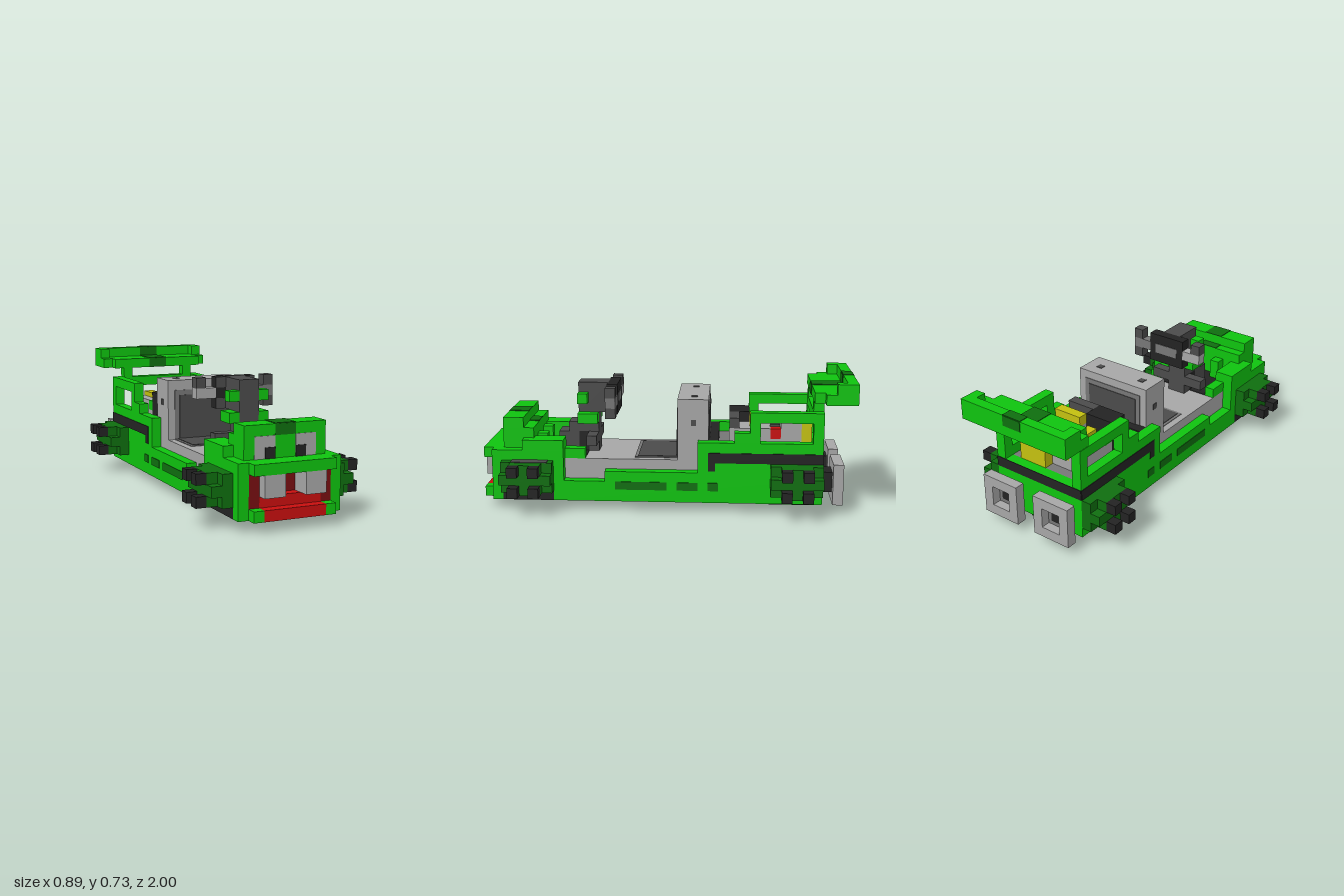
import * as THREE from 'three';

const U = 1 / 18; // one block of the grid

const mat = (name, color) => {
  const m = new THREE.MeshStandardMaterial({ color });
  m.name = name;
  return m;
};

export function createModel() {
  const green = mat('green', 0x0fc30f), dkGreen = mat('darkGreen', 0x0f6e0f);
  const light = mat('lightGrey', 0xa6a6a6), mid = mat('midGrey', 0x767676);
  const dark = mat('darkGrey', 0x4b4b4b), black = mat('black', 0x232323);
  const red = mat('red', 0xc80f0f), dkRed = mat('darkRed', 0x780f12);
  const yellow = mat('yellow', 0xc3c010);

  const kart = new THREE.Group();
  kart.name = 'kart';

  // Box between two corners, in blocks
  const box = (name, m, x0, x1, y0, y1, z0, z1) => {
    const mesh = new THREE.Mesh(new THREE.BoxGeometry((x1 - x0) * U, (y1 - y0) * U, (z1 - z0) * U), m);
    mesh.position.set((x0 + x1) / 2 * U, (y0 + y1) / 2 * U, (z0 + z1) / 2 * U);
    mesh.name = name;
    kart.add(mesh);
  };
  // Same box on both sides
  const pair = (name, m, x0, x1, ...r) => {
    box(name + 'Left', m, x0, x1, ...r);
    box(name + 'Right', m, -x1, -x0, ...r);
  };
  const T = 0.06; // painted plate thickness

  // Underbody with rails and cross ribs
  box('underbody', black, -4, 4, 2, 3, -14, 15);
  pair('underRail', black, 3, 4, 1, 2, -14, 16);
  for (let z = -13; z <= 12; z += 5) box('underRib', dkGreen, -3, 3, 1.3, 2, z, z + 1);
  for (let z = -11.5; z < 12; z += 5) box('underPanel', dark, -1.5, 1.5, 2 - T, 2, z, z + 2.5);
  box('skid', black, -2, 2, 0, 1, -14, -10);
  box('skidMount', black, -2, 2, 1, 1.3, -14, -10);
  box('skidEnd', dkGreen, -2, 2, 0, 1, -14.06, -14);

  // Side walls
  pair('sill', green, 4, 5, 1, 3, -10, 11);
  pair('sillStep', green, 4, 5, 3, 4, -10, 6);
  pair('rearWall', green, 4, 5, 4, 7, -15, -3);
  pair('rearWallLow', green, 4, 5, 1, 4, -15, -10);
  pair('sideStripe', black, 5, 5 + T, 5, 6, -15, -4);
  pair('stripeEnd', black, 5, 5 + T, 4.2, 5, -4.7, -4);
  for (const [a, b] of [[0, 5], [-3, -1], [-5, -4]])
    pair('sideSlot', dkGreen, 5, 5 + T, 2.2, 3, a, b);

  // Wheels with stud hubs
  for (const z of [11, -15]) {
    pair('wheel', dkGreen, 5, 6, 2, 5, z, z + 5);
    pair('wheelFace', dkGreen, 6, 7, 2, 5, z + 1, z + 4);
    pair('wheelBand', dkGreen, 6, 7, 3, 4, z, z + 5);
    for (const dz of [1, 3]) for (const y of [2, 4])
      pair('stud', black, 7, 8, y, y + 1, z + dz, z + dz + 1);
  }
  box('wheelPatch', dark, 5, 6, 5, 5 + T, 11.5, 15);

  // Cockpit floor and seat
  box('cockpitFloor', light, -4, 4, 3, 5, -3, 10);
  box('seatBack', light, -4, 4, 5, 11, -4, -1);
  box('seatPanelRim', mid, -3.3, 3.3, 5, 10, -1, -1 + T);
  box('seatPanel', dark, -2.8, 2.8, 5, 9.5, -1 + T, -1 + 2 * T);
  box('cushionRim', mid, -3.3, 3.3, 5, 5 + T, -1, 3.2);
  box('cushion', dark, -3, 3, 5 + T, 5 + 2 * T, -1, 2.9);
  box('seatRearRim', mid, -3.3, 3.3, 7, 10.2, -4 - T, -4);
  box('seatRearPanel', dark, -2.8, 2.8, 7, 9.7, -4 - 2 * T, -4 - T);
  pair('seatBolt', dark, 2.2, 2.8, 11, 11 + T, -2.9, -2.3);
  pair('seatSideBolt', dark, 4, 4 + T, 8.4, 9, -2.8, -2.3);

  // Nose and hood
  box('footwell', black, -4, 4, 3, 5, 10, 15);
  box('footwellMat', black, -3, 3, 5, 5 + T, 8, 10);
  pair('frontWellSide', dkGreen, 4, 5, 2, 5, 11, 16);
  pair('frontWellBase', black, 4, 5, 1, 2, 11, 16);
  pair('frontWallTop', green, 4, 5, 5, 6, 10, 16);
  pair('frontWallEdge', green, 4, 5, 3, 5, 10, 11);
  pair('cowlSide', green, 3, 4, 5, 7, 10, 13);
  pair('cowlFoot', green, 3, 4, 5, 6, 8, 10);
  pair('hoodShoulder', green, 4, 5, 6, 7, 10, 14);
  box('hoodBase', green, -4, 4, 5, 7, 13, 16);
  pair('hoodPeg', green, 1, 2, 5, 7, 12, 13);
  box('hoodMiddle', green, -4, 4, 7, 8, 13, 16);
  box('hoodTop', green, -4, 4, 8, 9, 14, 16);
  box('hoodStripe', dkGreen, -1, 1, 9, 9 + T, 14, 16);
  box('hoodStripeRear', dkGreen, -1, 1, 8, 8 + T, 13, 14);
  box('hoodStripeFront', dkGreen, -1, 1, 8, 9, 16, 16 + T);
  pair('noseCorner', green, 4, 5, 1, 6, 16, 17);
  box('browBar', green, -4, 4, 5, 6, 16, 18);

  // Eyes
  pair('eye', light, 1, 3, 6, 8, 16, 16 + T);
  pair('pupil', black, 1, 2, 6, 7, 16 + T, 16 + 2 * T);

  // Mouth
  box('mouthBack', dkRed, -4, 4, 2, 5, 15, 16);
  pair('mouthSide', dkRed, 3, 4, 2, 5, 16, 17);
  pair('tooth', light, 1, 3, 3, 5, 16, 18);
  box('tongue', red, -3, 3, 2, 3, 16, 17);
  box('lowerLip', red, -3, 3, 1, 2, 15, 18);
  pair('lipCorner', green, 3, 4, 1, 2, 16, 18);

  // Steering column and control panel
  box('columnFoot', dark, -1, 1, 5, 7, 7, 8);
  box('columnBlock', black, -1, 1, 5, 7, 8, 9);
  box('columnBase', dark, -1, 1, 7, 8, 7, 10);
  box('columnStep', dark, -1, 1, 5, 7, 9, 11);
  pair('columnArm', dark, 1, 3, 6, 7, 7, 8);
  box('columnNeck', dark, -1, 1, 8, 9, 7, 9);
  pair('neckSide', green, 1, 2, 8, 9, 7, 9);
  box('hub', dark, -1, 1, 9, 12, 6, 9);
  pair('hubLight', green, 1, 2, 10, 11, 8, 9);
  box('panel', black, -2, 2, 9, 12, 5, 6);
  pair('panelTopFace', dark, 1, 2, 11, 12, 6, 6 + T);
  box('panelLowFace', dark, -2, -1, 9, 10, 6, 6 + T);
  box('panelScreen', mid, -1.3, 1.3, 10, 11, 5 - T, 5);
  box('gripArm', mid, 2, 4, 10, 11, 5, 6);
  box('gripTop', dark, 3, 4, 11, 12, 5, 6);
  box('gripLow', dark, 3, 4, 9, 10, 5, 6);
  box('gripRight', dark, -4, -3, 11, 12, 5, 6);
  box('gripRightArm', light, -4, -2, 10, 11, 5, 6);

  // Engine bay
  box('bayFloor', mid, -4, 4, 3, 6, -14, -4);
  box('bayBar', black, -4, 4, 6, 7, -5, -4);
  box('intake', black, -3, 0, 6, 9, -8, -6);
  box('engineFront', light, 0, 3, 6, 8, -8, -6);
  box('engineCap', dark, 0, 3, 8, 9, -7, -6);
  box('engineBlock', light, -3, 3, 6, 7, -13, -8);
  box('engineMiddle', light, 0, 3, 7, 8, -10, -8);
  box('engineRear', light, 0, 3, 7, 9, -13, -11);
  box('engineSide', light, -3, -2, 7, 8, -13, -9);
  box('valve', red, 2, 3, 7, 8, -11, -10);
  box('valveBase', dark, 0.5, 1.2, 7, 8, -11, -10);
  box('pipeRear', yellow, 0, 3, 6, 9, -14, -13);
  box('pipeFront', yellow, 0, 3, 8, 9, -9, -8);
  box('pipeLong', yellow, -2, -1, 7, 8.5, -13, -9);
  box('pipeCross', yellow, -1, 0, 7, 8.5, -12, -11);
  box('engineLamp', green, -3, -2, 7, 8, -9, -8);

  // Roll frame and rear panel
  pair('frameStep', green, 4, 5, 7, 8, -8, -6.5);
  pair('framePost', green, 4, 5, 7, 9, -9, -8);
  pair('frameRail', green, 4, 5, 9, 10, -15, -8);
  pair('rearPost', green, 4, 5, 7, 9, -15, -14);
  box('frameCrossbar', green, -4, 4, 9, 10, -15, -14);
  box('rearPanel', green, -4, 4, 1, 6, -15, -14);
  box('rearStripe', black, -5, 5, 5, 6, -15 - T, -15);

  // Spoiler
  pair('spoilerSupport', green, 3, 4, 10, 11, -15, -14);
  box('spoilerBase', green, -5, 5, 11, 12, -18, -14);
  pair('spoilerEnd', green, 5, 6, 11, 12, -18, -15);
  pair('spoilerEndRim', green, 5, 6, 12, 13, -18, -16);
  box('spoilerRim', green, -5, 5, 12, 13, -18, -17);
  box('spoilerStripeTop', dkGreen, -1, 1, 13, 13 + T, -18, -17);
  box('spoilerStripeRim', dkGreen, -1, 1, 12, 13, -17, -17 + T);
  box('spoilerStripeBase', dkGreen, -1, 1, 12, 12 + T, -17, -14);
  box('spoilerStripeFront', dkGreen, -1, 1, 11, 12, -14, -14 + T);
  box('spoilerStripeBack', dkGreen, -1, 1, 12, 13, -18 - T, -18);
  box('spoilerStripeUnder', dkGreen, -1, 1, 11 - T, 11, -17, -15);

  // Square exhausts
  pair('exhaustPipe', black, 2, 4, 2, 4, -16, -15);
  pair('exhaustTop', light, 1, 5, 4, 5, -17, -16);
  pair('exhaustBottom', light, 1, 5, 1, 2, -17, -16);
  pair('exhaustInner', light, 1, 2, 2, 4, -17, -16);
  pair('exhaustOuter', light, 4, 5, 2, 4, -17, -16);
  pair('exhaustLining', mid, 2, 4, 2, 4, -16.1, -16);
  pair('exhaustHole', black, 2.4, 3.6, 2.4, 3.6, -16.16, -16.1);

  return kart;
}
